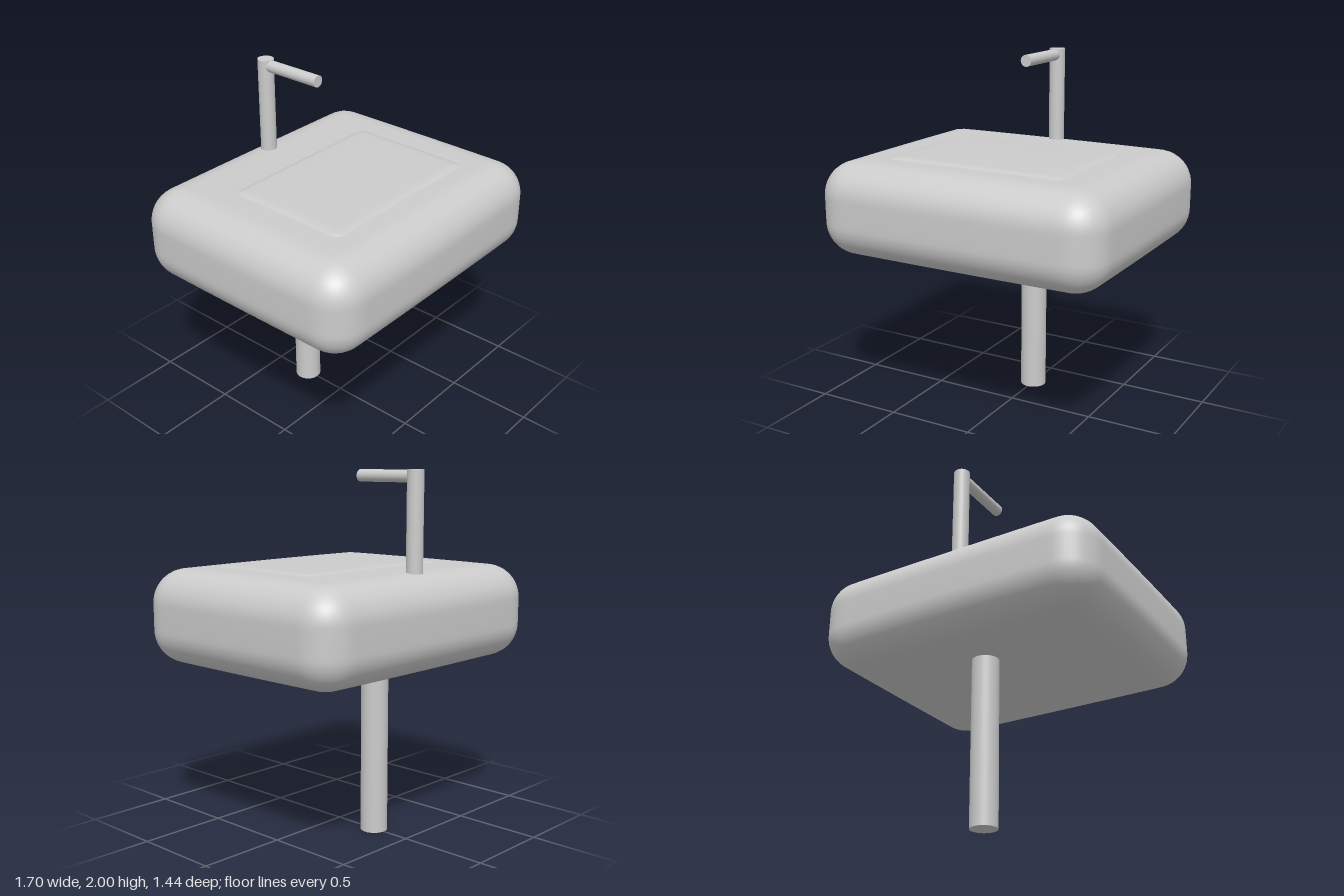
import * as THREE from 'three';
import { mergeVertices } from 'three/addons/utils/BufferGeometryUtils.js';

const material = new THREE.MeshStandardMaterial({ color: 0xcccccc });

// Rounded block whose six faces swell gently towards their middles
function pillow(width, height, depth, radius, swell) {
  const half = new THREE.Vector3(width / 2, height / 2, depth / 2).subScalar(swell);
  const core = half.clone().subScalar(radius);
  const geometry = new THREE.BoxGeometry(half.x * 2, half.y * 2, half.z * 2, 48, 32, 48);
  geometry.deleteAttribute('uv');
  geometry.deleteAttribute('normal');
  const position = geometry.attributes.position;
  const p = new THREE.Vector3();
  const c = new THREE.Vector3();
  for (let i = 0; i < position.count; i++) {
    p.fromBufferAttribute(position, i);
    c.copy(p).clamp(core.clone().negate(), core);
    p.sub(c).setLength(radius).add(c);
    const u = p.x / half.x, v = p.y / half.y, w = p.z / half.z;
    const a = 1 - u * u, b = 1 - v * v, d = 1 - w * w;
    p.x += swell * u * b * d;
    p.y += swell * v * a * d;
    p.z += swell * w * a * b;
    position.setXYZ(i, p.x, p.y, p.z);
  }
  const smooth = mergeVertices(geometry);
  smooth.computeVertexNormals();
  return smooth;
}

function createPart(name, geometry, x, y, z) {
  const mesh = new THREE.Mesh(geometry, material);
  mesh.name = name;
  mesh.position.set(x, y, z);
  return mesh;
}

export function createModel() {
  const model = new THREE.Group();
  model.name = 'pedestalSink';

  // Basin block and the shallow raised panel on its top
  model.add(createPart('basin', pillow(1.7, 0.54, 1.44, 0.185, 0.01), 0, 1.205, 0));
  model.add(createPart('bowlPanel', pillow(1.18, 0.3, 0.85, 0.1, 0.007), 0, 1.336, 0.075));

  // Supporting column, set towards the back
  model.add(createPart('pedestal', new THREE.CylinderGeometry(0.075, 0.075, 0.96, 32), 0, 0.48, -0.265));

  // Tap: upright post and forward spout
  const tap = new THREE.Group();
  tap.name = 'tap';
  tap.add(createPart('tapPost', new THREE.CylinderGeometry(0.045, 0.045, 0.535, 32), 0, 1.7325, -0.535));
  const spout = new THREE.CylinderGeometry(0.033, 0.033, 0.355, 32).rotateX(Math.PI / 2);
  tap.add(createPart('tapSpout', spout, 0, 1.965, -0.3325));
  model.add(tap);

  return model;
}
